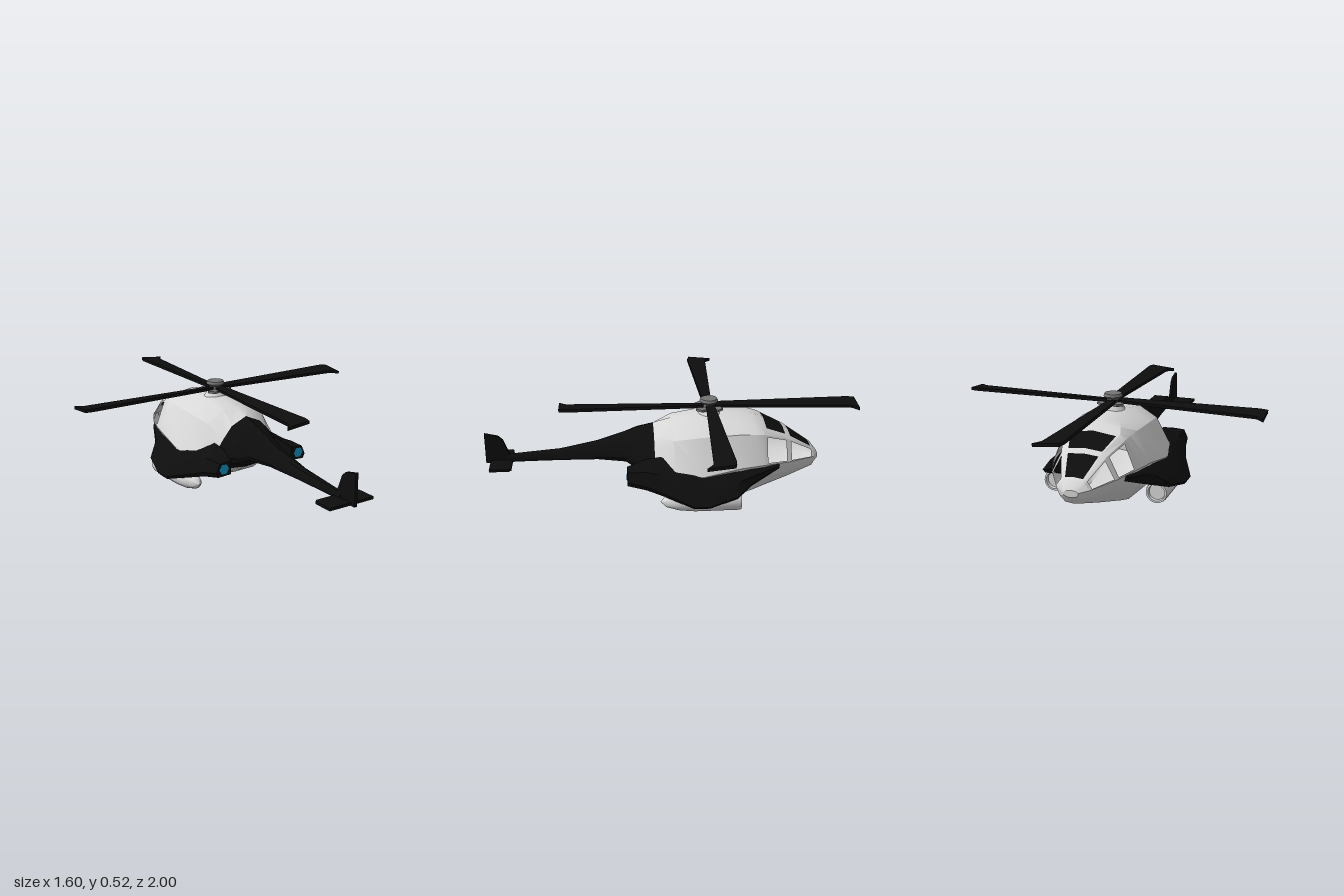
import * as THREE from 'three';
import { toCreasedNormals } from 'three/addons/utils/BufferGeometryUtils.js';

const mat = (name, color, side = THREE.FrontSide) => {
  const m = new THREE.MeshStandardMaterial({ color, side });
  m.name = name;
  return m;
};

// Geometry from a list of quads, each four corner vectors
function quadGeometry(quads, crease = 0.5) {
  const pos = [];
  for (const [a, b, c, d] of quads)
    for (const p of [a, b, c, a, c, d]) pos.push(p.x, p.y, p.z);
  const g = new THREE.BufferGeometry();
  g.setAttribute('position', new THREE.Float32BufferAttribute(pos, 3));
  return toCreasedNormals(g, crease);
}

// Full ring from a half outline running from bottom centre to top centre
function ring(z, half) {
  const mirrored = half.slice(1, -1).reverse().map(([x, y]) => [-x, y]);
  return [...half, ...mirrored].map(([x, y]) => new THREE.Vector3(x, y, z));
}

// Quads between successive rings, plus fan caps at both ends
function loft(rings, visit) {
  const quads = [];
  const n = rings[0].length;
  for (let i = 0; i + 1 < rings.length; i++)
    for (let j = 0; j < n; j++) {
      const k = (j + 1) % n;
      const q = [rings[i][j], rings[i][k], rings[i + 1][k], rings[i + 1][j]];
      if (!visit || !visit(i, j, q, quads)) quads.push(q);
    }
  const first = rings[0], last = rings[rings.length - 1];
  for (let j = 1; j + 1 < n; j++) {
    quads.push([first[0], first[j + 1], first[j], first[j]]);
    quads.push([last[0], last[j], last[j + 1], last[j + 1]]);
  }
  return quads;
}

// Splits a quad into a frame and a pane; u runs across, v along the hull
function splitWindow([a, b, c, d], u0, u1, v0, v1, frame) {
  const at = (u, v) => a.clone().lerp(b, u).lerp(d.clone().lerp(c, u), v);
  const us = [0, u0, u1, 1], vs = [0, v0, v1, 1];
  let pane;
  for (let i = 0; i < 3; i++)
    for (let j = 0; j < 3; j++) {
      const q = [at(us[i], vs[j]), at(us[i + 1], vs[j]), at(us[i + 1], vs[j + 1]), at(us[i], vs[j + 1])];
      if (i === 1 && j === 1) pane = q;
      else if (us[i] !== us[i + 1]) frame.push(q);
    }
  return pane;
}

export function createModel() {
  const model = new THREE.Group();
  const white = mat('hull white', 0xd8d8d8, THREE.DoubleSide);
  const black = mat('black', 0x0d0d0d, THREE.DoubleSide);
  const grey = mat('hub grey', 0x747474);
  const blue = mat('exhaust blue', 0x14a0d4, THREE.DoubleSide);
  const add = (name, geo, material, parent = model) => {
    const m = new THREE.Mesh(geo, material);
    m.name = name;
    parent.add(m);
    return m;
  };

  // Hull, with the nose towards -z
  const hull = [
    ring(-0.80, [[0, 0.175], [0.02, 0.178], [0.035, 0.185], [0.037, 0.2], [0.028, 0.207], [0.018, 0.21], [0, 0.212]]),
    ring(-0.77, [[0, 0.135], [0.04, 0.14], [0.07, 0.17], [0.085, 0.21], [0.06, 0.24], [0.045, 0.247], [0, 0.252]]),
    ring(-0.62, [[0, 0.085], [0.08, 0.095], [0.15, 0.16], [0.17, 0.222], [0.115, 0.33], [0.09, 0.343], [0, 0.352]]),
    ring(-0.48, [[0, 0.045], [0.11, 0.055], [0.2, 0.15], [0.222, 0.23], [0.165, 0.38], [0.135, 0.405], [0, 0.425]]),
    ring(-0.43, [[0, 0.033], [0.12, 0.04], [0.207, 0.13], [0.235, 0.23], [0.172, 0.385], [0.12, 0.425], [0, 0.443]]),
    ring(-0.35, [[0, 0.016], [0.135, 0.02], [0.22, 0.1], [0.255, 0.23], [0.18, 0.39], [0.09, 0.44], [0, 0.45]]),
    ring(-0.155, [[0, 0.01], [0.14, 0.012], [0.235, 0.1], [0.28, 0.2], [0.19, 0.385], [0.08, 0.45], [0, 0.46]]),
    ring(0, [[0, 0.06], [0.12, 0.065], [0.22, 0.12], [0.265, 0.2], [0.175, 0.365], [0.075, 0.425], [0, 0.432]]),
    ring(0.1, [[0, 0.12], [0.09, 0.13], [0.17, 0.17], [0.2, 0.22], [0.145, 0.3], [0.09, 0.365], [0, 0.405]]),
  ];
  // Side windows are openings; windscreen panes are dark
  const panes = [];
  const hullQuads = loft(hull, (i, j, q, out) => {
    if (i !== 1 && i !== 2) return false;
    const v = i === 1 ? [0.1, 0.9] : [0.1, 0.88];
    if (j === 3) splitWindow(q, 0.06, 0.93, ...v, out);
    else if (j === 8) splitWindow(q, 0.07, 0.94, ...v, out);
    else if (j === 5) panes.push(splitWindow(q, 0.08, 1, ...v, out));
    else if (j === 6) panes.push(splitWindow(q, 0, 0.92, ...v, out));
    else return false;
    return true;
  });
  add('hull', quadGeometry(hullQuads), white);
  add('windscreen', quadGeometry(panes), black);

  // Tail boom continues the rear hull ring
  const boomRing = (z, w, yb, yt) => ring(z, [[0, 0], [0.5, 0.02], [0.9, 0.1], [1, 0.25], [0.85, 0.6], [0.5, 0.88], [0, 1]]
    .map(([x, y]) => [x * w, yb + y * (yt - yb)]));
  add('tailBoom', quadGeometry(loft([
    hull[hull.length - 1],
    boomRing(0.185, 0.145, 0.165, 0.382),
    boomRing(0.25, 0.092, 0.2, 0.36),
    boomRing(0.4, 0.06, 0.212, 0.31),
    boomRing(0.6, 0.035, 0.208, 0.27),
    boomRing(0.9, 0.012, 0.2, 0.245),
  ])), black);

  // Tail fin and stabiliser
  const fin = new THREE.Shape([[0.85, 0.2], [1, 0.2], [1, 0.368], [0.93, 0.352], [0.905, 0.33], [0.875, 0.25]]
    .map(([z, y]) => new THREE.Vector2(-z, y)));
  const finGeo = new THREE.ExtrudeGeometry(fin, { depth: 0.016, bevelEnabled: false });
  finGeo.translate(0, 0, -0.008).rotateY(Math.PI / 2);
  add('tailFin', finGeo, black);
  const stab = new THREE.Shape([[-0.132, 0.87], [-0.12, 0.858], [0.12, 0.858], [0.132, 0.87], [0.132, 0.974], [-0.132, 0.974]]
    .map(([x, z]) => new THREE.Vector2(x, z)));
  const stabGeo = new THREE.ExtrudeGeometry(stab, { depth: 0.014, bevelEnabled: false });
  add('stabiliser', stabGeo.rotateX(Math.PI / 2).translate(0, 0.215, 0), black);

  // Side sponsons: z, then under, lower tip, tip, shoulder, upper inner edge
  const sponson = [
    [-0.56, [0.17, 0.2], [0.19, 0.195], [0.2, 0.205], [0.203, 0.215], [0.19, 0.226]],
    [-0.4, [0.2, 0.135], [0.262, 0.13], [0.278, 0.15], [0.272, 0.19], [0.235, 0.222]],
    [-0.32, [0.22, 0.115], [0.342, 0.1], [0.355, 0.115], [0.31, 0.175], [0.25, 0.218]],
    [-0.17, [0.22, 0.125], [0.38, 0.068], [0.393, 0.083], [0.335, 0.155], [0.272, 0.2]],
    [-0.09, [0.22, 0.13], [0.38, 0.068], [0.393, 0.083], [0.335, 0.157], [0.262, 0.215]],
    [0.07, [0.18, 0.15], [0.31, 0.115], [0.322, 0.135], [0.275, 0.22], [0.18, 0.28]],
    [0.15, [0.18, 0.155], [0.288, 0.14], [0.3, 0.165], [0.265, 0.232], [0.17, 0.265]],
    [0.25, [0.195, 0.165], [0.27, 0.16], [0.283, 0.185], [0.262, 0.232], [0.195, 0.236]],
  ];
  // Underslung pod profile: radius, z
  const podProfile = [[0, -0.325], [0.042, -0.325], [0.045, -0.343], [0.055, -0.343], [0.058, -0.33],
    [0.058, -0.1], [0.05, -0.02], [0.03, 0.05], [0, 0.08]].map(([r, z]) => new THREE.Vector2(r, z));
  for (const s of [1, -1]) {
    const side = s > 0 ? 'left' : 'right';
    const rings = sponson.map(([z, ...pts]) => {
      const r = pts.map(([x, y]) => new THREE.Vector3(s * x, y, z));
      return s > 0 ? r : r.reverse();
    });
    add(side + 'Sponson', quadGeometry(loft(rings)), black);
    const pod = toCreasedNormals(new THREE.LatheGeometry(podProfile, 20).rotateX(Math.PI / 2), 0.6);
    add(side + 'Pod', pod, white).position.set(s * 0.28, 0.068, 0);
    add(side + 'Exhaust', new THREE.CircleGeometry(0.029, 6), blue).position.set(s * 0.237, 0.2, 0.253);
  }

  // Main rotor
  const rotor = new THREE.Group();
  rotor.name = 'mainRotor';
  rotor.position.set(0, 0, -0.2);
  model.add(rotor);
  add('mastFairing', new THREE.CylinderGeometry(0.04, 0.08, 0.06, 12), white, rotor).position.y = 0.455;
  add('mast', new THREE.CylinderGeometry(0.03, 0.036, 0.05, 16), grey, rotor).position.y = 0.5;
  add('hubCap', new THREE.CylinderGeometry(0.044, 0.05, 0.014, 20), grey, rotor).position.y = 0.527;
  add('hubRing', new THREE.CylinderGeometry(0.05, 0.042, 0.01, 20), grey, rotor).position.y = 0.515;
  const star = new THREE.Shape();
  for (let k = 0; k < 4; k++)
    for (const [r, t] of [[0.05, 0], [0.085, 0.55], [0.085, 1.02]]) {
      const a = k * Math.PI / 2 + t;
      if (k + t === 0) star.moveTo(r, 0);
      else star.lineTo(r * Math.cos(a), r * Math.sin(a));
    }
  const starGeo = new THREE.ExtrudeGeometry(star, { depth: 0.012, bevelEnabled: false });
  add('hubPlate', starGeo.rotateX(Math.PI / 2).translate(0, 0.492, 0), grey, rotor);

  // Four blades with swept tips and a little pitch
  const blade = new THREE.Shape([[0.03, -0.028], [0.76, -0.042], [0.8, -0.032], [0.8, 0.1], [0.762, 0.066], [0.03, 0.018]]
    .map(([x, z]) => new THREE.Vector2(x, z)));
  const bladeGeo = new THREE.ExtrudeGeometry(blade, { depth: 0.016, bevelEnabled: false });
  bladeGeo.rotateX(Math.PI / 2 + 0.1).translate(0, 0.503, 0);
  for (let k = 0; k < 4; k++)
    add('blade' + (k + 1), bladeGeo, black, rotor).rotation.y = k * Math.PI / 2;

  return model;
}
